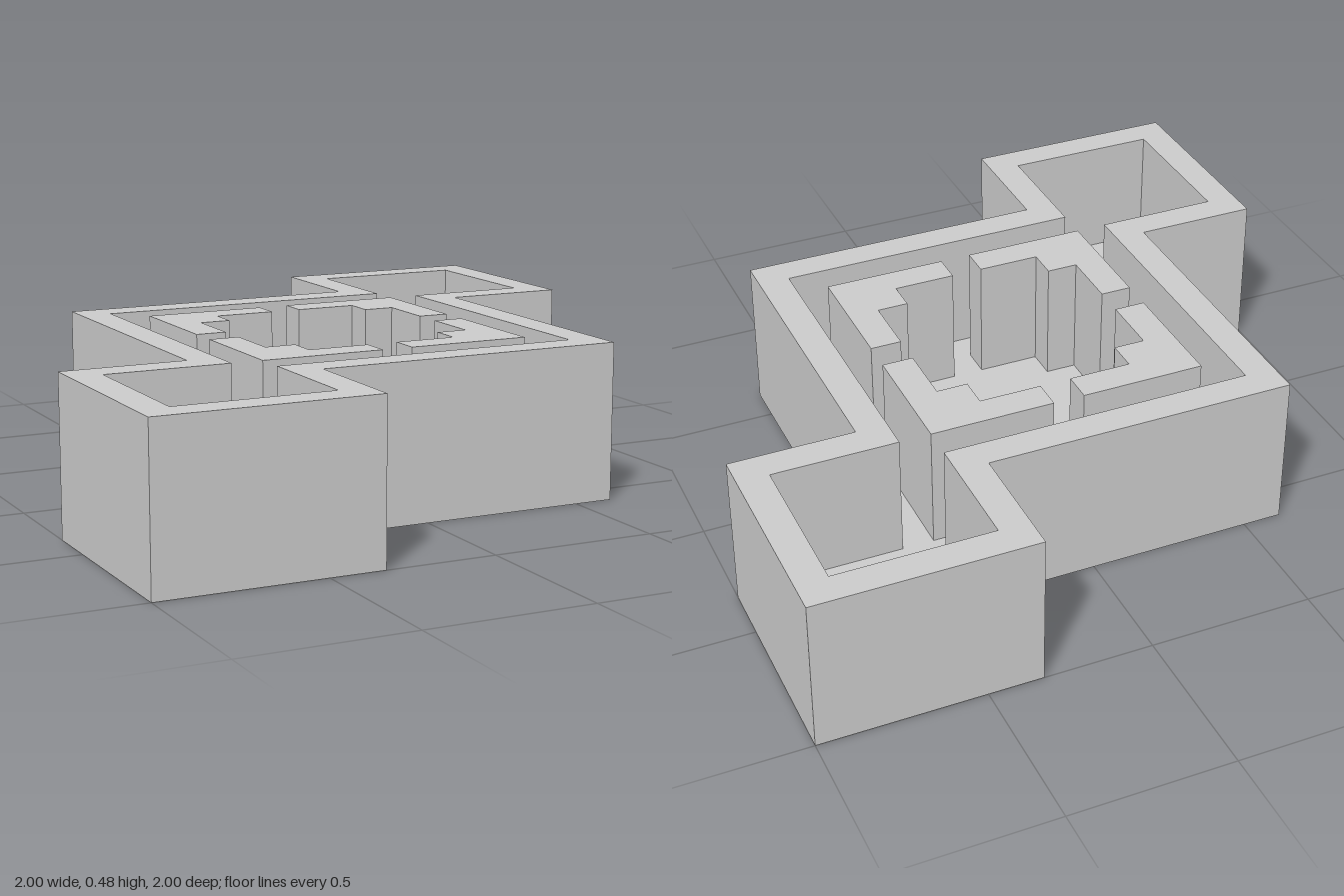
import * as THREE from 'three';

const U = 2 / 21; // wall thickness, the module of the whole plan
const material = new THREE.MeshStandardMaterial({ color: 0xcccccc, flatShading: true });

const toPoints = (pts) => pts.map(([x, y]) => new THREE.Vector2(x * U, y * U));

// Extrude a plan (x, -z) upward from height y
function slab(name, shape, y, height) {
  const geometry = new THREE.ExtrudeGeometry(shape, { depth: height * U, bevelEnabled: false });
  geometry.rotateX(-Math.PI / 2);
  geometry.translate(0, y * U, 0);
  const mesh = new THREE.Mesh(geometry, material);
  mesh.name = name;
  return mesh;
}

// Square court with two opposite corner rooms: half the outline, then its half turn
function plan(court, roomNear, roomFar) {
  const half = [
    [court, -court], [court, roomNear], [roomFar, roomNear],
    [roomFar, roomFar], [roomNear, roomFar], [roomNear, court],
  ];
  return toPoints([...half, ...half.map(([x, y]) => [-x, -y])]);
}

export function createModel() {
  const group = new THREE.Group();
  group.name = 'walledCourt';

  // Floor
  group.add(slab('floor', new THREE.Shape(plan(6.5, 3.5, 10.5)), 0, 1));

  // Outer wall, open inside from the court into both rooms
  const wall = new THREE.Shape(plan(6.5, 3.5, 10.5));
  wall.holes.push(new THREE.Path(plan(5.5, 4.5, 9.5)));
  group.add(slab('outerWall', wall, 1, 4));

  // Four angled inner walls with a stepped inside corner
  const angle = new THREE.Shape(toPoints([
    [4.5, 4.5], [0.5, 4.5], [0.5, 3.5], [2.5, 3.5],
    [2.5, 2.5], [3.5, 2.5], [3.5, 0.5], [4.5, 0.5],
  ]));
  for (let i = 0; i < 4; i++) {
    const inner = slab('innerWall' + (i + 1), angle, 1, 4);
    inner.rotation.y = (i * Math.PI) / 2;
    group.add(inner);
  }
  return group;
}
